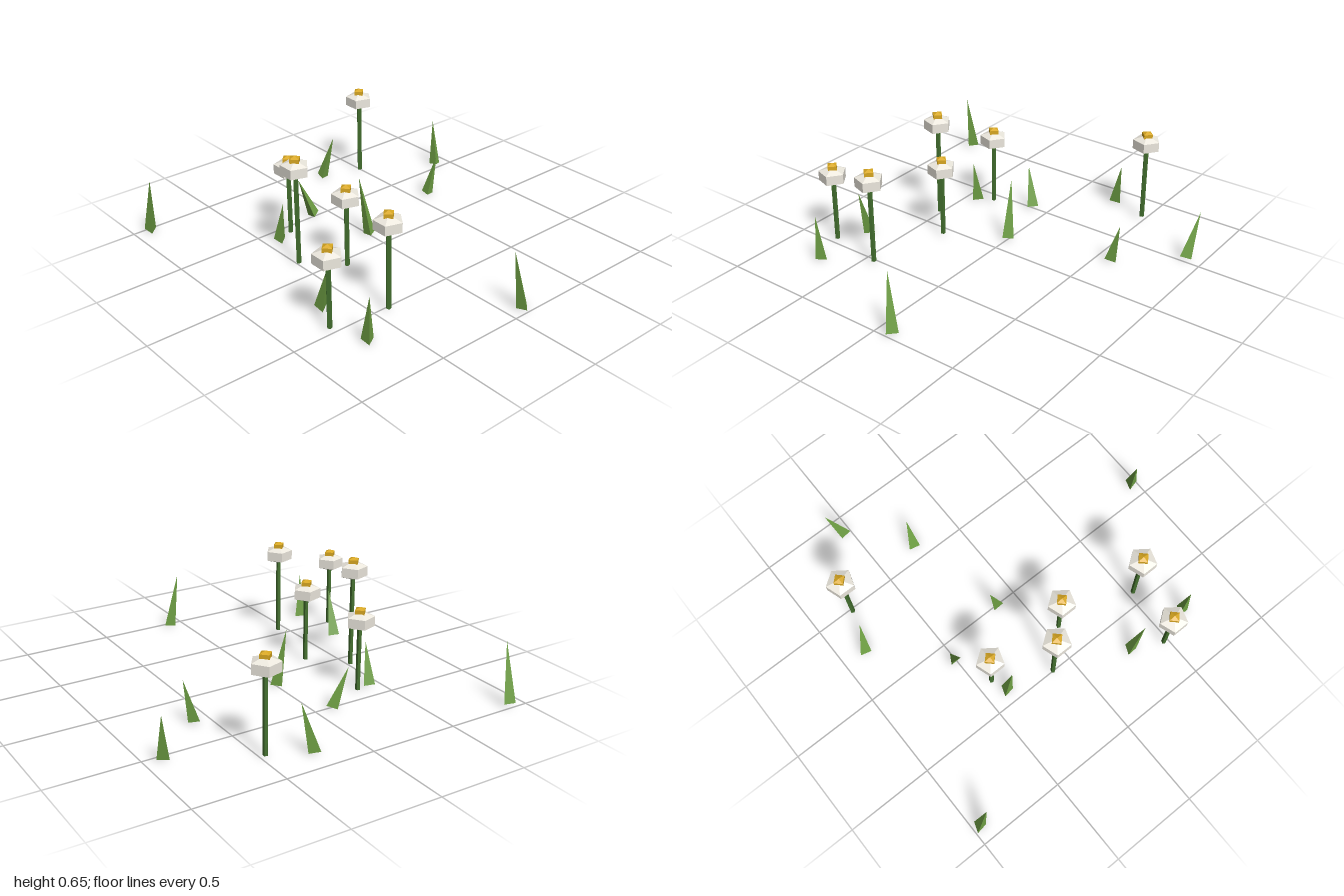
import * as THREE from 'three';

const mat = (color) => new THREE.MeshStandardMaterial({ color, flatShading: true });

export function createModel() {
  const root = new THREE.Group();
  root.name = 'flowerPatch';
  const stemMat = mat(0x44702f), petalMat = mat(0xece8de), coreMat = mat(0xd9a821), bladeMat = mat(0x6fa044);

  // Faceted five-sided bloom with one corner towards the back, and its four-sided centre
  const bloomGeo = new THREE.SphereGeometry(0.09, 5, 3).rotateY(-Math.PI / 2).scale(1, 0.6, 1);
  const coreGeo = new THREE.SphereGeometry(0.04, 4, 3).scale(1, 0.6, 1);

  const add = (parent, name, geo, material, y) => {
    const mesh = new THREE.Mesh(geo, material);
    mesh.name = name;
    mesh.position.y = y;
    parent.add(mesh);
    return mesh;
  };

  // Flowers: x, z, height of the bloom centre
  const flowers = [
    [-0.78, -0.48, 0.485], [-0.42, 0.33, 0.418], [-0.12, 0.5, 0.578],
    [0.07, 0.32, 0.425], [0.53, 0.43, 0.502], [0.47, 0.76, 0.414],
  ];
  for (const [x, z, h] of flowers) {
    const flower = new THREE.Group();
    flower.name = 'flower';
    flower.position.set(x, 0, z);
    add(flower, 'stem', new THREE.CylinderGeometry(0.014, 0.014, h - 0.02, 5), stemMat, (h + 0.02) / 2);
    add(flower, 'petals', bloomGeo, petalMat, h);
    add(flower, 'flowerCentre', coreGeo, coreMat, h + 0.053);
    root.add(flower);
  }

  // Grass blades: base x, base z, tip x, tip y, tip z, turn in degrees
  const blades = [
    [-0.965, 0.91, -0.91, 0.35, 0.915, 190], [-0.865, -0.25, -0.82, 0.27, -0.305, 168],
    [-0.535, -0.9, -0.6, 0.275, -0.935, 180], [-0.505, 0.1, -0.55, 0.24, 0.168, 180],
    [-0.39, 0.425, -0.35, 0.255, 0.425, 190], [-0.27, -0.585, -0.255, 0.245, -0.64, 168],
    [-0.12, 0, -0.18, 0.35, 0.025, 180], [0.295, 0.675, 0.365, 0.285, 0.68, 185],
    [0.67, 0.685, 0.69, 0.275, 0.69, 180], [0.965, -0.09, 0.93, 0.34, -0.045, -45],
  ];
  const up = new THREE.Vector3(0, 1, 0);
  for (const [bx, bz, tx, ty, tz, turn] of blades) {
    const base = new THREE.Vector3(bx, 0.015, bz);
    const axis = new THREE.Vector3(tx, ty, tz).sub(base);
    const len = axis.length();
    const geo = new THREE.ConeGeometry(0.037, len, 3).rotateY(THREE.MathUtils.degToRad(turn)).translate(0, len / 2, 0);
    const blade = add(root, 'grassBlade', geo, bladeMat, 0);
    blade.position.copy(base);
    blade.quaternion.setFromUnitVectors(up, axis.normalize());
  }
  return root;
}
